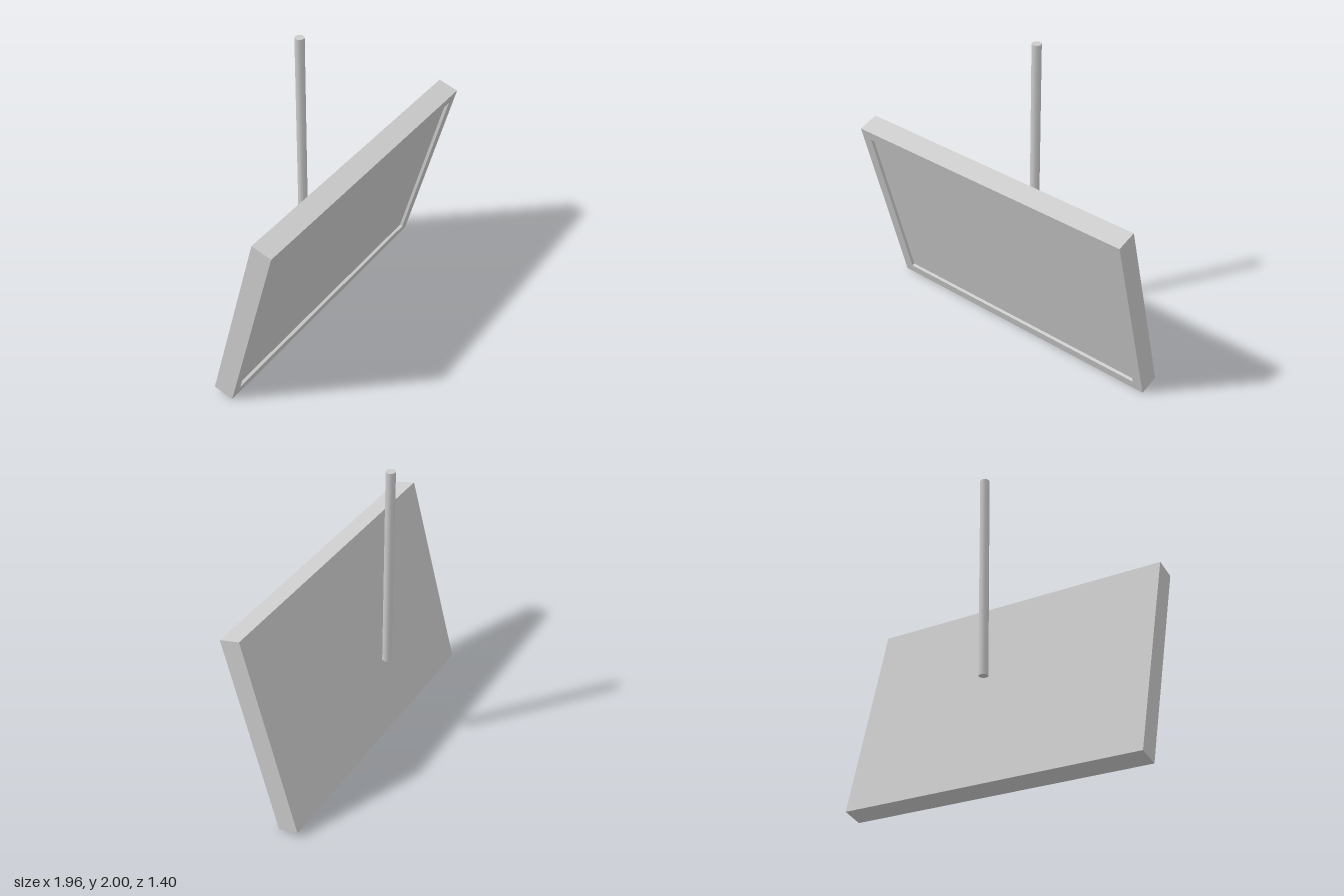
import * as THREE from 'three';

const W = 1.985, H = 1.325, D = 0.135;   // panel size
const BORDER = 0.066, RECESS = 0.02;     // frame width and screen depth

// Closed rectangle outline, added to a Shape or Path
function rect(path, w, h) {
  path.moveTo(-w / 2, -h / 2);
  path.lineTo(w / 2, -h / 2);
  path.lineTo(w / 2, h / 2);
  path.lineTo(-w / 2, h / 2);
  path.closePath();
  return path;
}

export function createModel() {
  const model = new THREE.Group();
  const grey = new THREE.MeshStandardMaterial({ color: 0xcccccc });
  const add = (parent, name, geometry) => {
    const mesh = new THREE.Mesh(geometry, grey);
    mesh.name = name;
    parent.add(mesh);
    return mesh;
  };

  // Display panel: turned to its left and tilted to face downward
  const display = new THREE.Group();
  display.name = 'display';
  display.position.y = 0.658;
  display.rotation.set(THREE.MathUtils.degToRad(15), THREE.MathUtils.degToRad(30), 0, 'YXZ');
  model.add(display);

  // Casing wall with an opening for the screen, running the full depth
  const outline = rect(new THREE.Shape(), W, H);
  outline.holes.push(rect(new THREE.Path(), W - 2 * BORDER, H - 2 * BORDER));
  const frame = new THREE.ExtrudeGeometry(outline, { depth: D, bevelEnabled: false });
  add(display, 'frame', frame.translate(0, 0, -D / 2));

  // Screen body fills the opening, flush at the back and recessed at the front
  const body = new THREE.BoxGeometry(W - 2 * BORDER, H - 2 * BORDER, D - RECESS);
  add(display, 'screen', body).position.z = -RECESS / 2;

  // Ceiling pole hanging behind the panel
  const bottom = 0.68, top = 2;
  const pole = add(model, 'ceilingPole', new THREE.CylinderGeometry(0.03, 0.03, top - bottom, 8));
  pole.position.set(-0.135, (top + bottom) / 2, -0.228);
  pole.rotation.y = Math.PI / 6;

  return model;
}
